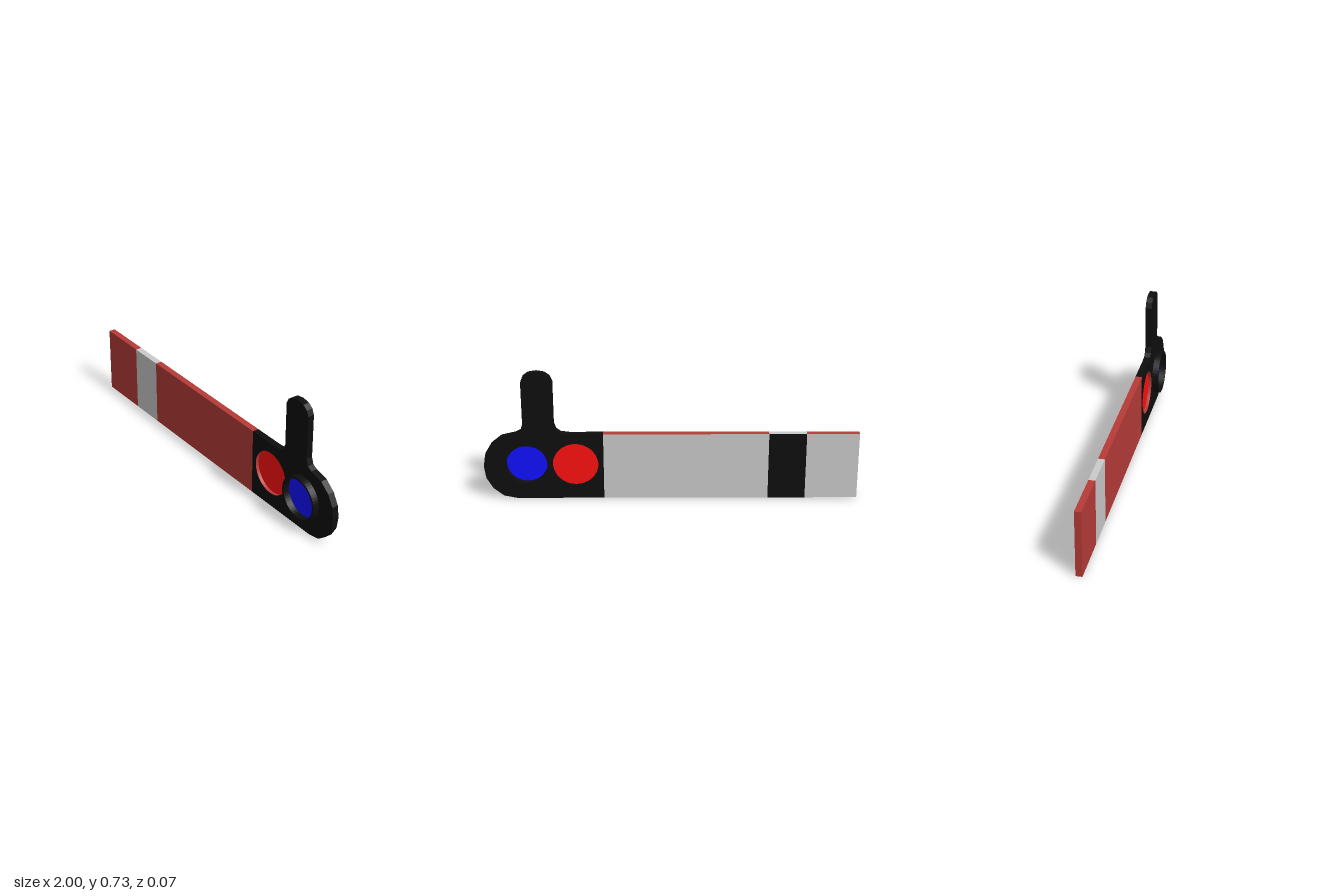
import * as THREE from 'three';

const T = 0.035; // plate thickness; plates lie from z = -T to z = 0
const CY = 0.197; // height of both lenses
const RED = { x: 0.51, r: 0.122 };
const BLUE = { x: 0.77, r: 0.11 };

const mat = (color, side = THREE.FrontSide) => new THREE.MeshStandardMaterial({ color, side });

export function createModel() {
  const group = new THREE.Group();
  const armRed = mat(0xb73b37), black = mat(0x0e0e0e), grey = mat(0xcccccc);

  const add = (name, geometry, material, x = 0, y = 0, z = 0) => {
    const mesh = new THREE.Mesh(geometry, material);
    mesh.name = name;
    mesh.position.set(x, y, z);
    group.add(mesh);
    return mesh;
  };

  // Arm sections: one colour on the front and edges, another on the back
  const section = (name, x0, x1, front, back) =>
    add(name, new THREE.BoxGeometry(x1 - x0, 0.375, T),
      [front, front, front, front, front, back], (x0 + x1) / 2, 0.1875, -T / 2);
  section('armTip', -1, -0.72, armRed, grey);
  section('armStripe', -0.72, -0.52, grey, black);
  section('armBlade', -0.52, 0.36, armRed, grey);

  // Lens plate with rounded end, upright lug and two lens holes
  const outline = [
    [0.36, 0], [0.83, 0], [0.9, 0.015], [0.955, 0.06], [0.99, 0.12], [1, 0.19],
    [0.99, 0.255], [0.955, 0.315], [0.9, 0.36], [0.825, 0.378], [0.797, 0.393],
    [0.785, 0.43], [0.785, 0.67], [0.772, 0.7], [0.745, 0.72], [0.703, 0.727],
    [0.66, 0.72], [0.633, 0.7], [0.62, 0.67], [0.62, 0.43], [0.608, 0.398],
    [0.585, 0.381], [0.54, 0.375], [0.36, 0.375],
  ];
  const circle = (Type, x, y, r) => new Type().absarc(x, y, r, 0, Math.PI * 2, false);
  const plate = new THREE.Shape(outline.map(([x, y]) => new THREE.Vector2(x, y)));
  for (const { x, r } of [RED, BLUE]) plate.holes.push(circle(THREE.Path, x, CY, r));
  const extrude = (shape) =>
    new THREE.ExtrudeGeometry(shape, { depth: T, bevelEnabled: false, curveSegments: 24 });
  add('lensPlate', extrude(plate), black, 0, 0, -T);

  // Raised ring in front of the blue lens
  const ring = circle(THREE.Shape, 0, 0, 0.122);
  ring.holes.push(circle(THREE.Path, 0, 0, BLUE.r));
  add('blueLensRing', extrude(ring), black, BLUE.x, CY, 0);

  // Lenses set inside their holes
  const lens = (name, { x, r }, color, z) =>
    add(name, new THREE.CircleGeometry(r, 48), mat(color, THREE.DoubleSide), x, CY, z);
  lens('redLens', RED, 0xff1010, -T / 2);
  lens('blueLens', BLUE, 0x1010ff, 0);

  // Red lining of the hole in front of the red lens
  const lining = new THREE.CylinderGeometry(RED.r - 0.001, RED.r - 0.001, T / 2, 48, 1, true);
  lining.rotateX(Math.PI / 2);
  add('redLensLining', lining, mat(0xb73b37, THREE.BackSide), RED.x, CY, -T / 4);

  return group;
}
